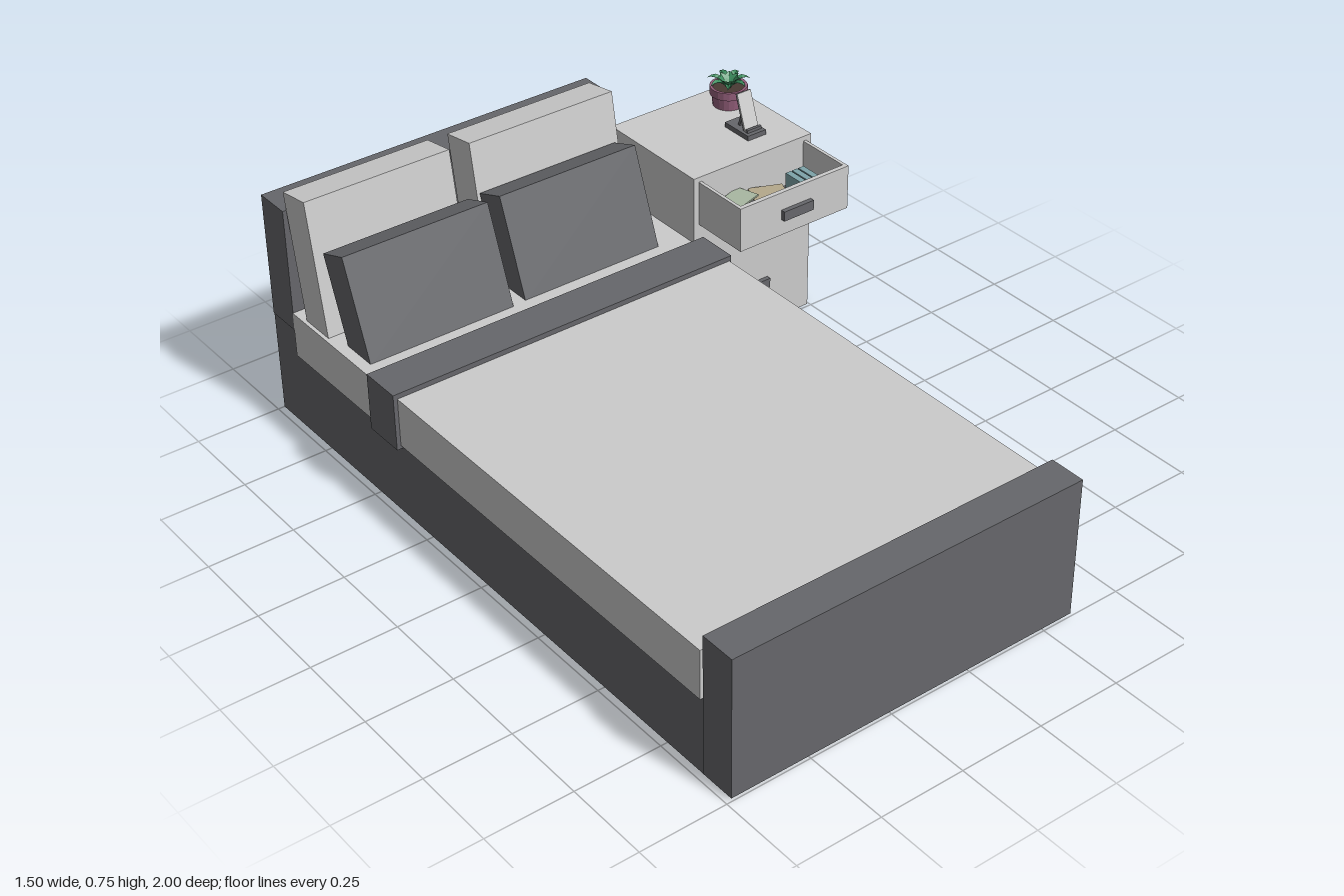
import * as THREE from 'three';

const mat = (color, side = THREE.FrontSide) =>
  new THREE.MeshStandardMaterial({ color, side, flatShading: true });

export function createModel() {
  const model = new THREE.Group();
  const light = mat(0xcccccc);
  const dark = mat(0x66676b);
  const mauve = mat(0x95607c);
  const soil = mat(0x4a3a34);
  const leafGreen = mat(0x3d8f5f, THREE.DoubleSide);

  // Box given by its limits on each axis
  const box = (name, material, [x0, x1], [y0, y1], [z0, z1], parent = model) => {
    const mesh = new THREE.Mesh(new THREE.BoxGeometry(x1 - x0, y1 - y0, z1 - z0), material);
    mesh.position.set((x0 + x1) / 2, (y0 + y1) / 2, (z0 + z1) / 2);
    mesh.name = name;
    parent.add(mesh);
    return mesh;
  };

  // Bed frame and bedding
  box('bedBase', dark, [-0.73, 0.325], [0, 0.31], [-1, 0.9]);
  box('headboard', dark, [-0.732, 0.322], [0.31, 0.68], [-1, -0.89]);
  box('footboard', dark, [-0.737, 0.34], [0.01, 0.423], [0.895, 1]);
  box('mattress', light, [-0.733, 0.328], [0.23, 0.365], [-0.89, 0.88]);
  box('blanket', light, [-0.738, 0.338], [0.23, 0.375], [-0.45, 0.886]);
  box('blanketFold', dark, [-0.75, 0.344], [0.22, 0.39], [-0.49, -0.365]);

  // Pillows lean back, turning about their top front edge
  const pillow = (name, material, x0, x1, top, z, height, depth, tilt) => {
    const geo = new THREE.BoxGeometry(x1 - x0, height, depth);
    geo.translate(0, -height / 2, -depth / 2);
    const mesh = new THREE.Mesh(geo, material);
    mesh.position.set((x0 + x1) / 2, top, z);
    mesh.rotation.x = -tilt;
    mesh.name = name;
    model.add(mesh);
  };
  pillow('rightBackPillow', light, -0.722, -0.275, 0.75, -0.79, 0.4, 0.108, 0.165);
  pillow('leftBackPillow', light, -0.215, 0.256, 0.75, -0.785, 0.4, 0.108, 0.165);
  pillow('rightFrontPillow', dark, -0.7, -0.25, 0.642, -0.655, 0.3, 0.103, 0.35);
  pillow('leftFrontPillow', dark, -0.208, 0.24, 0.642, -0.66, 0.3, 0.103, 0.35);

  // Nightstand with its top drawer open
  const stand = new THREE.Group();
  stand.name = 'nightstand';
  model.add(stand);
  box('cabinet', light, [0.328, 0.745], [0, 0.57], [-0.89, -0.51], stand);
  const drawer = new THREE.Group();
  drawer.name = 'openDrawer';
  stand.add(drawer);
  box('drawerBottom', light, [0.345, 0.727], [0.42, 0.43], [-0.52, -0.33], drawer);
  box('drawerLining', dark, [0.355, 0.717], [0.43, 0.434], [-0.52, -0.34], drawer);
  box('drawerFront', light, [0.345, 0.727], [0.42, 0.555], [-0.34, -0.326], drawer);
  for (const x of [0.345, 0.717]) box('drawerSide', light, [x, x + 0.01], [0.42, 0.555], [-0.52, -0.34], drawer);
  for (const [y, z] of [[0.485, -0.326], [0.34, -0.51], [0.14, -0.51]])
    box('handle', dark, [0.488, 0.592], [y - 0.015, y + 0.015], [z - 0.005, z + 0.014], stand);

  // Things in the drawer
  const sheet = (name, color, x, y, z, w, h, d, turn) => {
    const mesh = box(name, mat(color), [x - w / 2, x + w / 2], [y, y + h], [z - d / 2, z + d / 2], drawer);
    mesh.rotation.y = turn;
  };
  sheet('pinkBook', 0xb98880, 0.42, 0.434, -0.46, 0.1, 0.03, 0.1, 0);
  sheet('greenPaper', 0xa9b8a2, 0.45, 0.48, -0.47, 0.1, 0.005, 0.07, 0.3);
  sheet('beigePaper', 0xb5a98c, 0.55, 0.465, -0.455, 0.1, 0.006, 0.085, -0.4);
  for (let i = 0; i < 3; i++) sheet('blueBook', 0x7fa5aa, 0.647 + i * 0.023, 0.434, -0.435, 0.019, 0.055, 0.11, 0);

  // Phone leaning on a stand
  const phone = new THREE.Group();
  phone.name = 'phoneStand';
  model.add(phone);
  box('standBase', dark, [0.578, 0.642], [0.57, 0.585], [-0.69, -0.585], phone);
  box('standLip', dark, [0.587, 0.637], [0.585, 0.594], [-0.607, -0.598], phone);
  const holder = new THREE.Group();
  holder.position.set(0.612, 0.583, -0.61);
  holder.rotation.x = -0.34;
  phone.add(holder);
  box('phoneScreen', light, [-0.024, 0.024], [0, 0.112], [-0.004, 0], holder);
  box('phoneBack', dark, [-0.024, 0.024], [0, 0.112], [-0.008, -0.004], holder);
  const brace = box('standBrace', dark, [0.598, 0.626], [0.583, 0.643], [-0.647, -0.639], phone);
  brace.rotation.x = 0.3;

  // Potted plant
  const plant = new THREE.Group();
  plant.name = 'plant';
  plant.position.set(0.672, 0.57, -0.792);
  model.add(plant);
  const profile = [[0, 0], [0.046, 0], [0.049, 0.036], [0.055, 0.036], [0.055, 0.06], [0.047, 0.06], [0.046, 0.048]];
  const pot = new THREE.Mesh(
    new THREE.LatheGeometry(profile.map(([r, y]) => new THREE.Vector2(r, y)), 20), mauve);
  pot.name = 'pot';
  const earth = new THREE.Mesh(new THREE.CylinderGeometry(0.047, 0.047, 0.004, 20), soil);
  earth.position.y = 0.049;
  earth.name = 'soil';
  plant.add(pot, earth);

  // Pointed leaves arching out from the middle
  const leaf = (length, rise, droop, turn) => {
    const geo = new THREE.PlaneGeometry(1, 1, 2, 5);
    const p = geo.attributes.position;
    for (let i = 0; i < p.count; i++) {
      const t = p.getY(i) + 0.5, s = p.getX(i) * 2;
      const half = 0.012 * Math.sin(Math.PI * (0.15 + 0.85 * t));
      p.setXYZ(i, s * half, 0.05 + rise * t - droop * t * t + Math.abs(s) * half * 0.5, 0.004 + length * t);
    }
    geo.computeVertexNormals();
    const mesh = new THREE.Mesh(geo, leafGreen);
    mesh.rotation.y = turn;
    mesh.name = 'leaf';
    plant.add(mesh);
  };
  for (let i = 0; i < 7; i++) {
    leaf(0.06, 0.085, 0.06, (i / 7) * Math.PI * 2 + 0.2);
    leaf(0.03, 0.055, 0.018, (i / 7) * Math.PI * 2 + 0.6);
  }

  return model;
}
